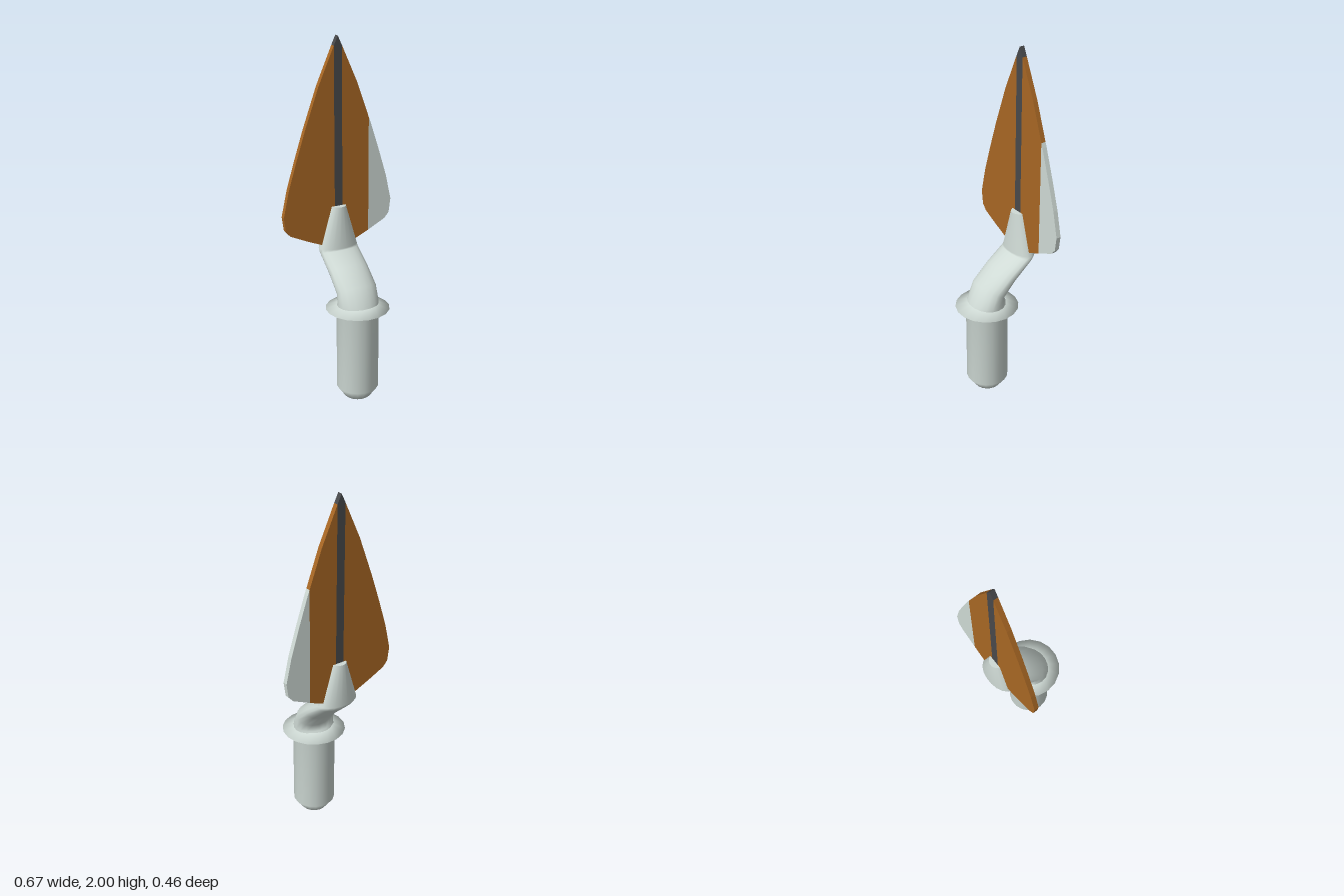
import * as THREE from 'three';

const SIDES = 18;
const BLADE_Z = -0.163, BLADE_T = 0.027;

// Skins a stack of elliptical rings: [front y, front z, back y, back z, half width]
function loft(rings) {
  const pos = [], index = [];
  rings.forEach(([fy, fz, by, bz, w], r) => {
    for (let i = 0; i < SIDES; i++) {
      const a = (i / SIDES) * Math.PI * 2, s = Math.sin(a) / 2;
      pos.push(w * Math.cos(a), (fy + by) / 2 + (fy - by) * s, (fz + bz) / 2 + (fz - bz) * s);
      if (r + 1 < rings.length) {
        const j = (i + 1) % SIDES, lo = r * SIDES, up = lo + SIDES;
        index.push(lo + i, up + i, lo + j, lo + j, up + i, up + j);
      }
    }
  });
  const geo = new THREE.BufferGeometry();
  geo.setAttribute('position', new THREE.Float32BufferAttribute(pos, 3));
  geo.setIndex(index);
  geo.computeVertexNormals();
  return geo;
}

// Level round ring about the handle axis
const round = (y, r) => [y, 0.058 + r, y, 0.058 - r, r];

// Flat slice of the blade, centred on the blade plane
function slice(points) {
  const shape = new THREE.Shape(points.map(([x, y]) => new THREE.Vector2(x, y)));
  const geo = new THREE.ExtrudeGeometry(shape, { depth: BLADE_T, bevelEnabled: false });
  return geo.translate(0, 0, BLADE_Z - BLADE_T / 2);
}

export function createModel() {
  const group = new THREE.Group();
  const material = (name, color) => new THREE.MeshStandardMaterial({ name, color });
  const silver = material('silver', 0xcfdad5);
  const bronze = material('bronze', 0xa86724);
  const darkGrey = material('dark grey', 0x48494b);

  const add = (name, geo, mat) => {
    const mesh = new THREE.Mesh(geo, mat);
    mesh.name = name;
    group.add(mesh);
  };

  // Handle with chamfered butt, running into the sharp-edged guard
  add('handleAndGuard', loft([
    round(0, 0), round(0, 0.074), round(0.06, 0.118), round(0.52, 0.118),
    round(0.54, 0.177), round(0.568, 0.105),
  ]), silver);

  // Cranked neck and tapered socket, closed by a flat top
  const top = [1.07, -0.115, 1.07, -0.207, 0.045];
  add('neckAndSocket', loft([
    [0.555, 0.168, 0.555, -0.05, 0.118],
    [0.58, 0.158, 0.575, -0.035, 0.118],
    [0.68, 0.11, 0.605, -0.02, 0.118],
    [0.767, 0, 0.683, -0.077, 0.118],
    [0.826, -0.095, 0.8, -0.203, 0.118],
    [0.835, -0.096, 0.832, -0.227, 0.117],
    top, top, [1.07, -0.161, 1.07, -0.161, 0],
  ]), silver);

  // Blade: dark spine, bronze faces, one silver edge
  const spine = 0.024, split = 0.19;
  add('bladeSpine', slice([
    [-spine, 0.855], [spine, 0.855], [spine, 1.95], [0, 2], [-spine, 1.95],
  ]), darkGrey);

  const lower = [[spine, 0.855], [0.11, 0.858]];
  const upper = [[0.117, 1.745], [spine, 1.95]];
  const edge = [
    [0.2, 0.897], [0.297, 0.943], [0.325, 0.975], [0.336, 1.055],
    [0.303, 1.2], [0.255, 1.355], [0.2, 1.52],
  ];
  const cut = [[split, 0.892], [split, 1.545]];
  const mirror = (pts) => pts.map(([x, y]) => [-x, y]);

  add('bladeRightHalf', slice(mirror([...lower, ...edge, ...upper])), bronze);
  add('bladeLeftHalf', slice([...lower, ...cut, ...upper]), bronze);
  add('bladeLeftEdge', slice([cut[0], ...edge, cut[1]]), silver);

  return group;
}
